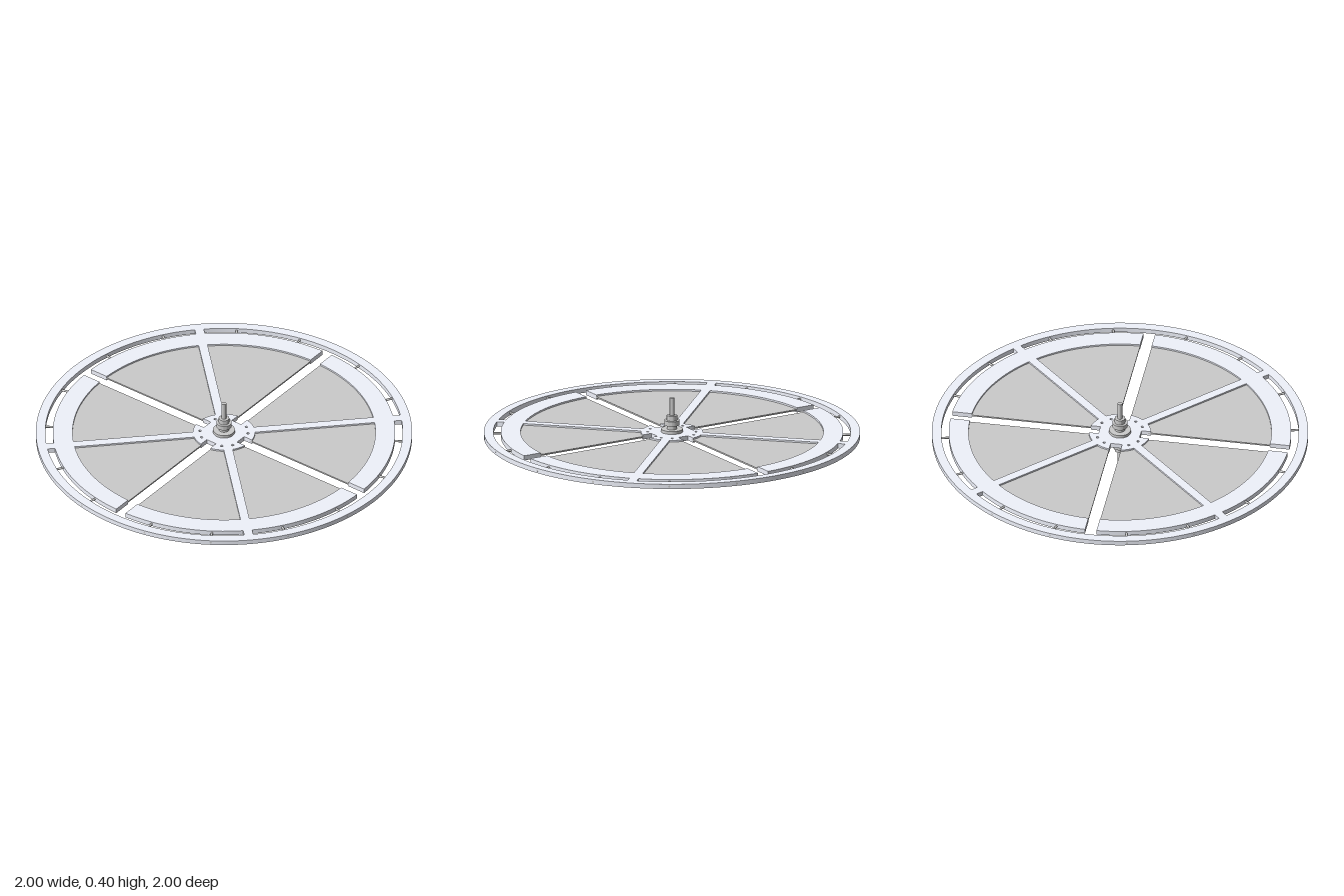
import * as THREE from 'three';
import { toCreasedNormals } from 'three/addons/utils/BufferGeometryUtils.js';

const MID = 0.2, THICK = 0.026;
const BAR = 0.024, SLOT = 0.031; // half widths of spoke bars and diagonal slots

export function createModel() {
  const model = new THREE.Group();
  const grey = new THREE.MeshStandardMaterial({ color: 0xcccccc });
  const frameMat = new THREE.MeshStandardMaterial({ color: 0xf0f3fc });

  function add(name, geometry, material, parent = model) {
    const mesh = new THREE.Mesh(geometry, material);
    mesh.name = name;
    parent.add(mesh);
    return mesh;
  }

  // Flat plate lying in the XZ plane, centred on the wheel's mid height
  function plate(shape, thickness, segments = 24) {
    const g = new THREE.ExtrudeGeometry(shape, { depth: thickness, bevelEnabled: false, curveSegments: segments });
    g.rotateX(-Math.PI / 2);
    g.translate(0, MID - thickness / 2, 0);
    return toCreasedNormals(g, 0.5);
  }

  const polar = (r, a) => new THREE.Vector2(r * Math.cos(a), r * Math.sin(a));

  // Sector between a spoke bar and a diagonal slot; side mirrors it about the bar
  function wedge(r0, r1, base, side) {
    const pts = [], n = 24;
    for (const [r, forward] of [[r0, true], [r1, false]]) {
      const a0 = Math.asin(BAR / r), a1 = Math.PI / 4 - Math.asin(SLOT / r);
      for (let i = 0; i <= n; i++) {
        const t = forward ? i / n : 1 - i / n;
        pts.push(polar(r, base + side * (a0 + (a1 - a0) * t)));
      }
    }
    return new THREE.Shape(pts);
  }

  // Outer rim
  const rim = new THREE.Shape().absarc(0, 0, 1, 0, Math.PI * 2);
  rim.holes.push(new THREE.Path().absarc(0, 0, 0.95, 0, Math.PI * 2, true));
  add('outerRim', plate(rim, THICK, 128), frameMat);

  // Hub plate, notched at the diagonal slots and drilled with eight holes
  const hubPts = [];
  for (let k = 0; k < 4; k++) {
    const base = k * Math.PI / 2, r = 0.165, inner = 0.115;
    const reach = Math.PI / 4 - Math.asin(SLOT / r);
    for (let i = 0; i <= 20; i++) hubPts.push(polar(r, base + reach * (i / 10 - 1)));
    const diagonal = base + Math.PI / 4, end = Math.asin(SLOT / inner);
    hubPts.push(polar(inner, diagonal - end), polar(inner, diagonal + end));
  }
  const hub = new THREE.Shape(hubPts);
  for (let k = 0; k < 4; k++) {
    for (const s of [-1, 1]) {
      const c = polar(0.128, k * Math.PI / 2 + s * 0.235);
      hub.holes.push(new THREE.Path().absarc(c.x, c.y, 0.007, 0, Math.PI * 2, true));
    }
  }
  add('hubPlate', plate(hub, THICK, 12), frameMat);

  for (let k = 0; k < 4; k++) {
    const base = k * Math.PI / 2;

    // Spoke bar from the hub plate to the rim
    const bar = new THREE.BoxGeometry(0.795, THICK, BAR * 2);
    bar.translate(0.16 + 0.795 / 2, MID, 0);
    bar.rotateY(base);
    add('spokeBar', bar, frameMat);

    for (const side of [-1, 1]) {
      // Inner rim segment and the thin panel recessed in it
      add('innerRimSegment', plate(wedge(0.805, 0.91, base, side), THICK), frameMat);
      add('panel', plate(wedge(0.15, 0.807, base, side), 0.008), grey);

      // Radial pins joining the inner segment to the outer rim
      for (const deg of [12, 33]) {
        const pin = new THREE.CylinderGeometry(0.006, 0.006, 0.11, 10);
        pin.rotateZ(-Math.PI / 2);
        pin.translate(0.945, MID, 0);
        pin.rotateY(base + side * THREE.MathUtils.degToRad(deg));
        add('rimPin', pin, grey);
      }
    }
  }

  // Stepped axle and collars, symmetric above and below the wheel
  const half = [[0.013, 0.2], [0.013, 0.105], [0.028, 0.105], [0.028, 0.078], [0.041, 0.078],
    [0.041, 0.052], [0.027, 0.052], [0.027, 0.03], [0.058, 0.03], [0.058, 0.014], [0.04, 0.014]];
  const lower = half.map(([r, y]) => new THREE.Vector2(r, MID - y));
  const upper = half.map(([r, y]) => new THREE.Vector2(r, MID + y)).reverse();
  const profile = [new THREE.Vector2(0, 0), ...lower, ...upper, new THREE.Vector2(0, 0.4)];
  add('axle', toCreasedNormals(new THREE.LatheGeometry(profile, 40), 0.5), grey);

  return model;
}
